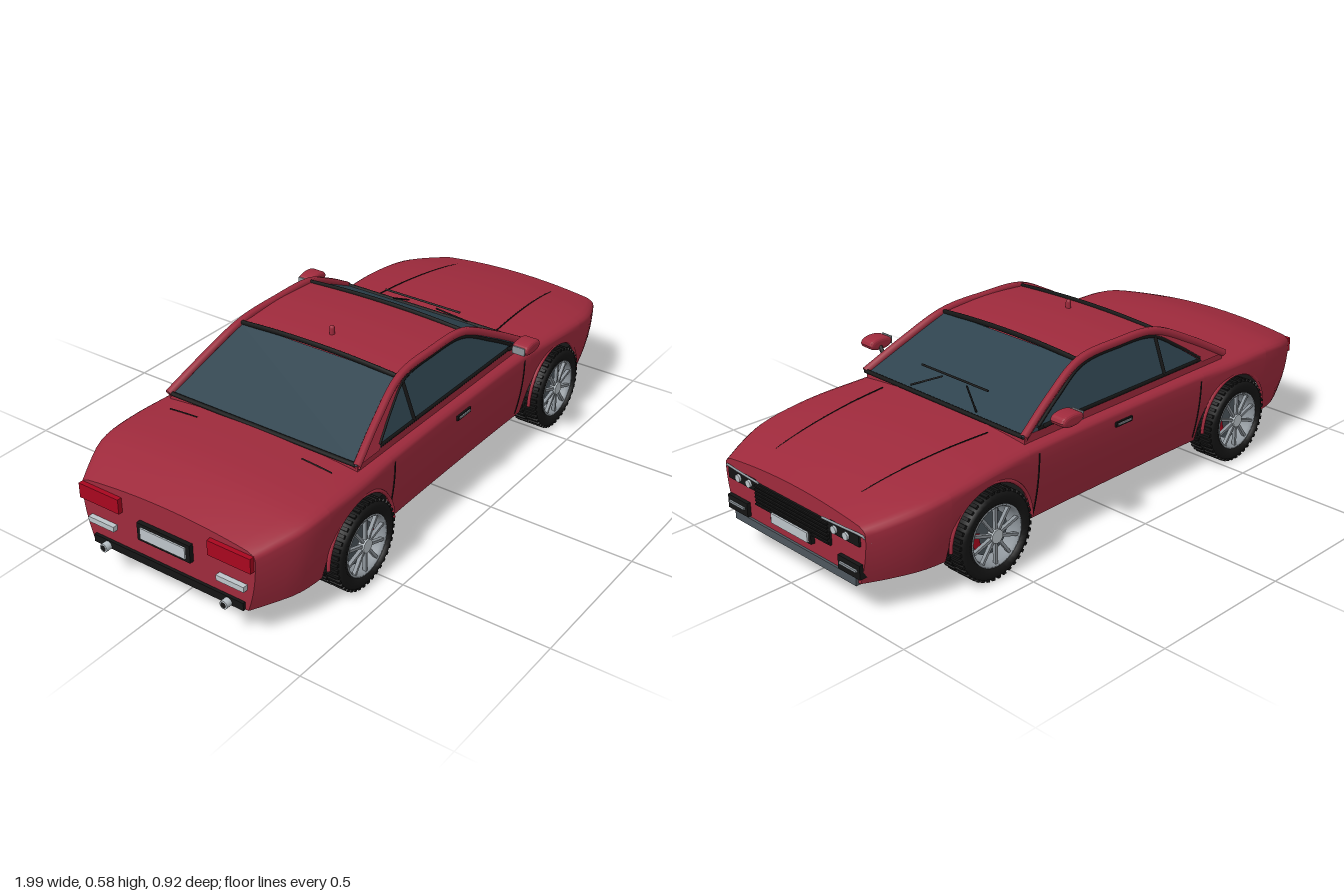
import * as THREE from 'three';

const mat = (name, color) => new THREE.MeshStandardMaterial({ name, color, side: THREE.DoubleSide });
const V = (x, y, z) => new THREE.Vector3(x, y, z);

// Body shape rules: half width and crown height along the length
const REAR = -0.965, NOSE = 0.975, SILL = 0.108, AXLES = [-0.565, 0.565], ARCH = 0.16, AXLE_Y = 0.145;
const rule = (xs, ys) => {
  const curve = new THREE.CubicInterpolant(xs, ys, 1);
  return x => curve.evaluate(x)[0];
};
const halfWidth = rule([-0.97, -0.9, -0.82, -0.65, -0.4, 0, 0.4, 0.65, 0.8, 0.9, 0.98],
  [0.325, 0.36, 0.393, 0.404, 0.393, 0.389, 0.393, 0.404, 0.395, 0.362, 0.325]);
const crown = rule([-0.97, -0.88, -0.78, -0.5, 0, 0.4, 0.6, 0.8, 0.98],
  [0.335, 0.36, 0.381, 0.385, 0.385, 0.382, 0.374, 0.35, 0.312]);
const shoulder = x => crown(x) - 0.045;
const sideZ = (x, y) => halfWidth(x) - 0.032 * ((shoulder(x) - y) / (shoulder(x) - SILL)) ** 2;
const topY = (x, z) => crown(x) - 0.025 * (z / halfWidth(x)) ** 2;
const lowerEdge = x => {
  for (const a of AXLES) {
    const d = Math.abs(x - a);
    if (d <= ARCH + 1e-6) return AXLE_Y + Math.sqrt(Math.max(0, ARCH * ARCH - d * d));
  }
  return SILL;
};

// One half section from lower edge over the shoulder to the centre line, as [z, y]
function halfSection(x) {
  const w = halfWidth(x), s = shoulder(x), b = lowerEdge(x), pts = [];
  for (let i = 0; i <= 7; i++) {
    const y = b + (s - b) * i / 7;
    pts.push([sideZ(x, y), y]);
  }
  pts.push([w * 0.99, s + 0.01], [w * 0.965, s + 0.017]);
  for (let i = 0; i <= 8; i++) {
    const z = w * 0.92 * (1 - i / 8);
    pts.push([z, topY(x, z)]);
  }
  return pts;
}
function section(x) {
  const h = halfSection(x);
  return [...h, ...h.slice(0, -1).reverse().map(([z, y]) => [-z, y])];
}

// Surface through a grid of points
function gridGeometry(rows) {
  const n = rows[0].length, index = [];
  for (let i = 0; i < rows.length - 1; i++) for (let j = 0; j < n - 1; j++) {
    const a = i * n + j, b = a + n;
    index.push(a, b, a + 1, b, b + 1, a + 1);
  }
  const g = new THREE.BufferGeometry();
  g.setAttribute('position', new THREE.Float32BufferAttribute(rows.flat(2), 3));
  g.setIndex(index);
  g.computeVertexNormals();
  return g;
}
const quad = (a, b, c, d) => gridGeometry([[a.toArray(), d.toArray()], [b.toArray(), c.toArray()]]);

export function createModel() {
  const car = new THREE.Group();
  car.name = 'car';
  const red = mat('body red', 0x9e2a3c), lampRed = mat('lamp red', 0xa8061e), glass = mat('tinted glass', 0x2d424d);
  const black = mat('black trim', 0x141414), grey = mat('valance grey', 0x4d565d);
  const silver = mat('silver', 0x8c9399), pale = mat('pale metal', 0xbcc4c9);

  const add = (parent, name, geo, m, x = 0, y = 0, z = 0) => {
    const mesh = new THREE.Mesh(geo, m);
    mesh.name = name;
    mesh.position.set(x, y, z);
    parent.add(mesh);
    return mesh;
  };
  const box = (name, m, w, h, d, x, y, z) => add(car, name, new THREE.BoxGeometry(w, h, d), m, x, y, z);
  const tube = (name, m, r, pts) =>
    add(car, name, new THREE.TubeGeometry(new THREE.CatmullRomCurve3(pts), pts.length * 8, r, 6), m);
  const steps = (a, b, n, f) => Array.from({ length: n + 1 }, (_, i) => f(a + (b - a) * i / n));

  // Body shell with open wheel arches
  const xs = steps(REAR, NOSE, 64, x => x).filter(x => AXLES.every(a => Math.abs(x - a) > ARCH + 0.004));
  for (const a of AXLES) {
    xs.push(a - ARCH - 0.001, a + ARCH + 0.001, ...steps(0, Math.PI, 24, t => a - ARCH * Math.cos(t)));
  }
  xs.sort((p, q) => p - q);
  add(car, 'bodyShell', gridGeometry(xs.map(x => section(x).map(([z, y]) => [x, y, z]))), red);
  for (const [name, x, turn] of [['rearPanel', REAR, -1], ['nosePanel', NOSE, 1]]) {
    const shape = new THREE.Shape(section(x).map(([z, y]) => new THREE.Vector2(z, y)));
    add(car, name, new THREE.ShapeGeometry(shape).rotateY(turn * Math.PI / 2), red, x);
  }
  box('floor', black, 1.78, 0.03, 0.58, 0.03, 0.118, 0);

  // Cabin
  box('cabinSill', red, 0.93, 0.04, 0.72, -0.07, 0.368, 0);
  const corner = (x, y, s) => V(x, y, s * (0.36 - 0.055 * (y - 0.385) / 0.145));
  add(car, 'windshield', quad(corner(0.4, 0.385, 1), corner(0.4, 0.385, -1), corner(0.11, 0.53, -1), corner(0.11, 0.53, 1)), glass);
  add(car, 'rearWindow', quad(corner(-0.54, 0.385, -1), corner(-0.54, 0.385, 1), corner(-0.25, 0.53, 1), corner(-0.25, 0.53, -1)), glass);
  const roofY = (x, z) => 0.53 + 0.01 * (1 - (z / 0.305) ** 2) + 0.011 * (1 - ((x + 0.07) / 0.18) ** 2);
  add(car, 'roof', gridGeometry(steps(-0.25, 0.11, 12, x => steps(0.305, -0.305, 12, z => [x, roofY(x, z), z]))), red);
  for (const [name, x, y, hw] of [['rearTopTrim', -0.25, 0.53, 0.3], ['frontTopTrim', 0.11, 0.53, 0.3],
    ['rearBaseTrim', -0.535, 0.386, 0.355], ['frontBaseTrim', 0.4, 0.387, 0.36]]) {
    const bow = y > 0.5 ? 0.012 : 0;
    tube(name, black, 0.008, steps(-hw, hw, 8, z => V(x, y + bow * (1 - (z / hw) ** 2), z)));
  }
  for (const s of [1, -1]) {
    const at = (x, y, out = 0) => corner(x, y, s).add(V(0, 0, s * out));
    add(car, 'sideGlass', quad(at(-0.54, 0.385), at(0.4, 0.385), at(0.11, 0.53), at(-0.25, 0.53)), glass);
    add(car, 'roofSideGlass', quad(at(-0.25, 0.525), at(0.11, 0.525), V(0.11, 0.54, s * 0.3), V(-0.25, 0.54, s * 0.3)), red);
    add(car, 'rearPillarPanel', quad(at(-0.54, 0.385, 0.003), at(-0.43, 0.385, 0.003), at(-0.24, 0.52, 0.003), at(-0.25, 0.53, 0.003)), red);
    tube('roofRail', red, 0.014, [at(-0.54, 0.385), at(-0.4, 0.462), at(-0.25, 0.528), at(-0.07, 0.538),
      at(0.11, 0.528), at(0.26, 0.462), at(0.4, 0.385)]);
    tube('windowTrim', black, 0.006, [at(-0.42, 0.398), at(-0.33, 0.46), at(-0.23, 0.515), at(-0.07, 0.525),
      at(0.1, 0.515), at(0.23, 0.455), at(0.335, 0.398)]);
    tube('beltTrim', black, 0.006, [at(-0.42, 0.393), at(0.34, 0.393)]);
    tube('windowDivider', black, 0.006, [at(-0.24, 0.393, 0.002), at(-0.24, 0.512, 0.002)]);
    tube('wiperArm', black, 0.003, [V(0.39, 0.398, s * 0.15), V(0.34, 0.44, s * 0.055)]);

    // Panel gaps on the body
    for (const x of [-0.39, 0.365]) {
      tube('doorGap', black, 0.0025, steps(0.125, 0.335, 6, y => V(x, y, s * sideZ(x, y))));
    }
    tube('hoodGap', black, 0.0022, steps(0.43, 0.88, 10, x => V(x, topY(x, 0.22), s * (0.24 - (x - 0.43) * 0.09))));
    tube('trunkGap', black, 0.0025, steps(0.2, 0.31, 4, z => V(-0.59, topY(-0.59, z), s * z)));
    box('doorHandle', black, 0.075, 0.016, 0.008, -0.01, 0.315, s * 0.391);
    box('doorHandleBar', silver, 0.06, 0.006, 0.008, -0.01, 0.316, s * 0.395);
    for (const a of AXLES) {
      add(car, 'archLip', new THREE.TorusGeometry(ARCH + 0.003, 0.006, 6, 32, Math.PI), red, a, AXLE_Y, s * 0.396);
    }

    // Door mirror
    tube('mirrorArm', black, 0.008, [V(0.31, 0.395, s * 0.36), V(0.295, 0.435, s * 0.415)]);
    const outline = new THREE.Shape().absellipse(0, 0, 0.034, 0.01, 0, Math.PI * 2);
    const housing = new THREE.ExtrudeGeometry(outline, { depth: 0.04, bevelSize: 0.011, bevelThickness: 0.01, bevelSegments: 3 });
    add(car, 'mirrorHousing', housing, red, 0.292, 0.438, s * 0.432 - 0.02);
    box('mirrorGlass', silver, 0.004, 0.026, 0.045, 0.246, 0.438, s * 0.432);

    // Front lamps, bumper pads and bright strips
    box('headlampHousing', black, 0.016, 0.035, 0.13, 0.974, 0.248, s * 0.24);
    for (const z of [0.2, 0.252]) {
      add(car, 'headlamp', new THREE.CylinderGeometry(0.012, 0.012, 0.012, 16).rotateZ(Math.PI / 2), pale, 0.983, 0.247, s * z);
    }
    tube('headlampStrip', silver, 0.004, [V(0.96, 0.245, s * 0.33), V(0.978, 0.268, s * 0.315), V(0.986, 0.272, s * 0.25), V(0.986, 0.267, s * 0.15)]);
    box('frontBumperPad', black, 0.03, 0.045, 0.096, 0.973, 0.153, s * 0.262);
    box('frontPadStrip', silver, 0.008, 0.007, 0.075, 0.99, 0.156, s * 0.262);

    // Rear lamps, strips and exhausts
    box('tailLamp', lampRed, 0.03, 0.05, 0.155, -0.966, 0.28, s * 0.245);
    box('rearBumperStrip', pale, 0.02, 0.018, 0.1, -0.972, 0.19, s * 0.245);
    add(car, 'exhaust', new THREE.CylinderGeometry(0.014, 0.014, 0.06, 16, 1).rotateZ(Math.PI / 2), pale, -0.966, 0.118, s * 0.23);
    add(car, 'exhaustMouth', new THREE.CircleGeometry(0.01, 16).rotateY(-Math.PI / 2), black, -0.997, 0.118, s * 0.23);
  }
  tube('wiperBlade', black, 0.004, [V(0.34, 0.452, -0.15), V(0.34, 0.452, 0.15)]);
  add(car, 'roofAerial', new THREE.CapsuleGeometry(0.009, 0.02, 4, 10), red, -0.17, 0.558, 0);

  // Grille, number plates and lower valance
  box('grille', black, 0.016, 0.075, 0.35, 0.974, 0.222, 0);
  for (let i = 0; i < 6; i++) box('grilleSlat', black, 0.01, 0.005, 0.34, 0.983, 0.192 + i * 0.012, 0);
  box('frontPlateFrame', black, 0.014, 0.042, 0.19, 0.982, 0.18, 0);
  box('frontPlate', pale, 0.006, 0.032, 0.17, 0.992, 0.18, 0);
  box('frontValance', grey, 0.03, 0.026, 0.57, 0.968, 0.113, 0);
  box('rearPlateFrame', black, 0.02, 0.06, 0.2, -0.97, 0.225, 0);
  box('rearPlate', pale, 0.006, 0.038, 0.17, -0.982, 0.225, 0);
  box('rearValance', black, 0.03, 0.026, 0.57, -0.96, 0.122, 0);

  // Wheels, outer face towards +z
  const lathe = (pts, seg = 40) => new THREE.LatheGeometry(pts.map(p => new THREE.Vector2(...p)), seg).rotateX(Math.PI / 2);
  const tyreGeo = lathe([[0.098, -0.05], [0.125, -0.055], [0.137, -0.048], [0.141, -0.03], [0.141, 0.03],
    [0.137, 0.048], [0.125, 0.055], [0.098, 0.05], [0.098, -0.05]]);
  const rimGeo = lathe([[0.088, -0.04], [0.09, 0.04], [0.094, 0.051], [0.1, 0.051], [0.1, 0.04]]);
  const blockGeo = new THREE.BoxGeometry(0.011, 0.008, 0.044);
  const spokeGeo = new THREE.BoxGeometry(0.009, 0.075, 0.012);
  const disc = (r, d) => new THREE.CylinderGeometry(r, r, d, 28).rotateX(Math.PI / 2);
  for (const x of AXLES) for (const s of [1, -1]) {
    const wheel = new THREE.Group();
    wheel.name = x > 0 ? 'frontWheel' : 'rearWheel';
    wheel.position.set(x, AXLE_Y, s * 0.366);
    if (s < 0) wheel.rotation.y = Math.PI;
    add(wheel, 'tyre', tyreGeo, black);
    for (let i = 0; i < 80; i++) {
      const a = i * Math.PI / 40;
      const block = add(wheel, 'treadBlock', blockGeo, black, 0.141 * Math.cos(a), 0.141 * Math.sin(a), i % 2 ? 0.026 : -0.026);
      block.rotation.z = a - Math.PI / 2;
    }
    add(wheel, 'rim', rimGeo, silver);
    add(wheel, 'rimBack', disc(0.09, 0.01), grey, 0, 0, -0.035);
    add(wheel, 'brakeDisc', disc(0.07, 0.008), grey, 0, 0, 0.015);
    const caliper = new THREE.RingGeometry(0.045, 0.072, 10, 1, -0.35, 0.9);
    add(wheel, 'brakeCaliper', s > 0 ? caliper : caliper.rotateY(Math.PI).rotateX(Math.PI), lampRed, 0, 0, 0.024);
    for (let i = 0; i < 10; i++) {
      const a = i * Math.PI / 5;
      const spoke = add(wheel, 'spoke', spokeGeo, silver, -0.056 * Math.sin(a), 0.056 * Math.cos(a), 0.042);
      spoke.rotation.z = a;
    }
    add(wheel, 'hub', disc(0.022, 0.022), pale, 0, 0, 0.042);
    car.add(wheel);
  }
  return car;
}
